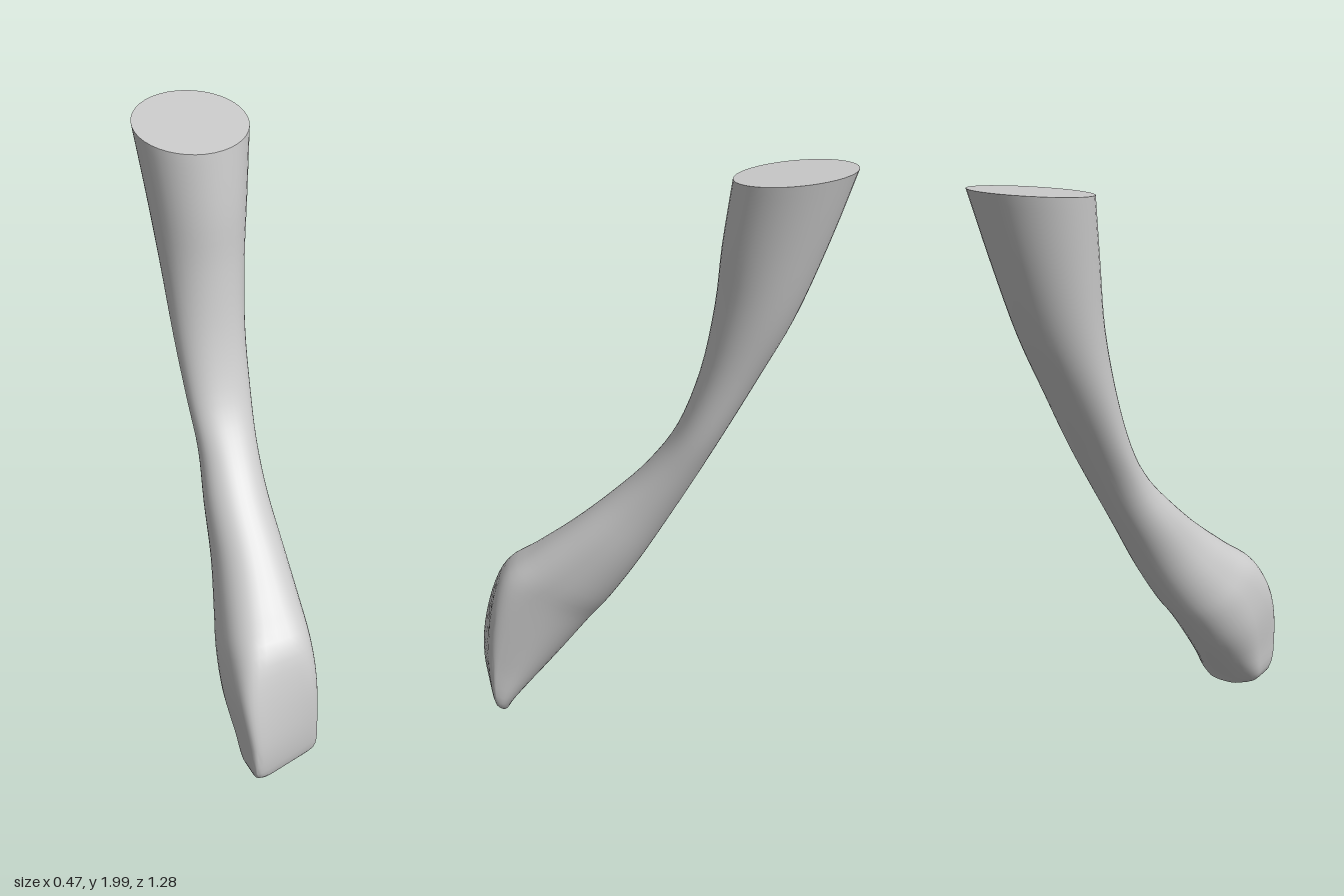
import * as THREE from 'three';
import { toCreasedNormals } from 'three/addons/utils/BufferGeometryUtils.js';

// Cross-sections from top to tip:
// front z, front y, back z, back y, min x, max x, front roundness (1 = ellipse, small = boxy), skew
const SECTIONS = [
  [-0.25, 1.96, -0.64, 2.00, -0.15, 0.23, 1, 0],
  [-0.22, 1.75, -0.56, 1.77, -0.13, 0.20, 1, 0],
  [-0.20, 1.55, -0.46, 1.52, -0.115, 0.17, 1, 0],
  [-0.155, 1.32, -0.35, 1.31, -0.11, 0.14, 0.95, 0],
  [-0.08, 1.12, -0.24, 1.11, -0.105, 0.12, 0.9, 0],
  [0.02, 0.98, -0.145, 0.94, -0.105, 0.10, 0.9, 0],
  [0.14, 0.86, -0.05, 0.775, -0.13, 0.09, 0.9, 0],
  [0.28, 0.74, 0.05, 0.61, -0.155, 0.09, 0.85, 0],
  [0.42, 0.63, 0.15, 0.46, -0.195, 0.085, 0.75, 0],
  [0.53, 0.54, 0.22, 0.37, -0.225, 0.075, 0.6, 0.005],
  [0.585, 0.40, 0.31, 0.255, -0.235, 0.068, 0.38, 0.02],
  [0.61, 0.22, 0.40, 0.15, -0.22, 0.062, 0.28, 0.035],
  [0.60, 0.07, 0.49, 0.05, -0.20, 0.058, 0.28, 0.035],
  [0.56, 0.02, 0.52, 0.01, -0.12, 0.02, 0.5, 0.01],
];
const AROUND = 40;
const STEPS = 4;

// Smooth interpolation of every section value
function sectionAt(i, t) {
  const row = (k) => SECTIONS[Math.min(Math.max(k, 0), SECTIONS.length - 1)];
  const [a, b, c, d] = [row(i - 1), row(i), row(i + 1), row(i + 2)];
  return b.map((p, k) => {
    const m0 = (c[k] - a[k]) / 2, m1 = (d[k] - p) / 2;
    const t2 = t * t, t3 = t2 * t;
    return (2 * t3 - 3 * t2 + 1) * p + (t3 - 2 * t2 + t) * m0 + (3 * t2 - 2 * t3) * c[k] + (t3 - t2) * m1;
  });
}

// One tilted ring, rounded at the back and boxy at the front where it nears the end face
function ring([zf, yf, zb, yb, x0, x1, power, skew]) {
  const points = [];
  for (let j = 0; j < AROUND; j++) {
    const a = (j / AROUND) * Math.PI * 2;
    const e = Math.sin(a) > 0 ? power : 1;
    const u = Math.sign(Math.cos(a)) * Math.abs(Math.cos(a)) ** e;
    const v = Math.sign(Math.sin(a)) * Math.abs(Math.sin(a)) ** e;
    points.push([
      (x0 + x1) / 2 + (u * (x1 - x0)) / 2,
      (yf + yb) / 2 + (v * (yf - yb)) / 2,
      (zf + zb) / 2 + (v * (zf - zb)) / 2 - skew * u * Math.max(v, 0),
    ]);
  }
  return points;
}

function loft(rings) {
  const positions = rings.flat(2);
  const index = [];
  const last = (rings.length - 1) * AROUND;
  for (let i = 0; i < rings.length - 1; i++) {
    for (let j = 0; j < AROUND; j++) {
      const a = i * AROUND + j, b = i * AROUND + ((j + 1) % AROUND);
      index.push(a, b, a + AROUND, b, b + AROUND, a + AROUND);
    }
  }
  // Flat caps at the top and the tip
  for (const start of [0, last]) {
    const centre = positions.length / 3;
    const pts = rings[start / AROUND];
    for (let k = 0; k < 3; k++) positions.push(pts.reduce((s, p) => s + p[k], 0) / AROUND);
    for (let j = 0; j < AROUND; j++) {
      const a = start + j, b = start + ((j + 1) % AROUND);
      if (start === 0) index.push(centre, b, a);
      else index.push(centre, a, b);
    }
  }
  const geometry = new THREE.BufferGeometry();
  geometry.setAttribute('position', new THREE.Float32BufferAttribute(positions, 3));
  geometry.setIndex(index);
  return toCreasedNormals(geometry, 0.7);
}

export function createModel() {
  const rings = [];
  for (let i = 0; i < SECTIONS.length - 1; i++) {
    for (let s = 0; s < STEPS; s++) rings.push(ring(sectionAt(i, s / STEPS)));
  }
  rings.push(ring(SECTIONS[SECTIONS.length - 1]));

  // Curved shaft with a waist, a flat round top and a bevelled lower end
  const shaft = new THREE.Mesh(loft(rings), new THREE.MeshStandardMaterial({ color: 0xcccccc }));
  shaft.name = 'curvedShaft';
  const group = new THREE.Group();
  group.name = 'bentShaft';
  group.add(shaft);
  return group;
}
